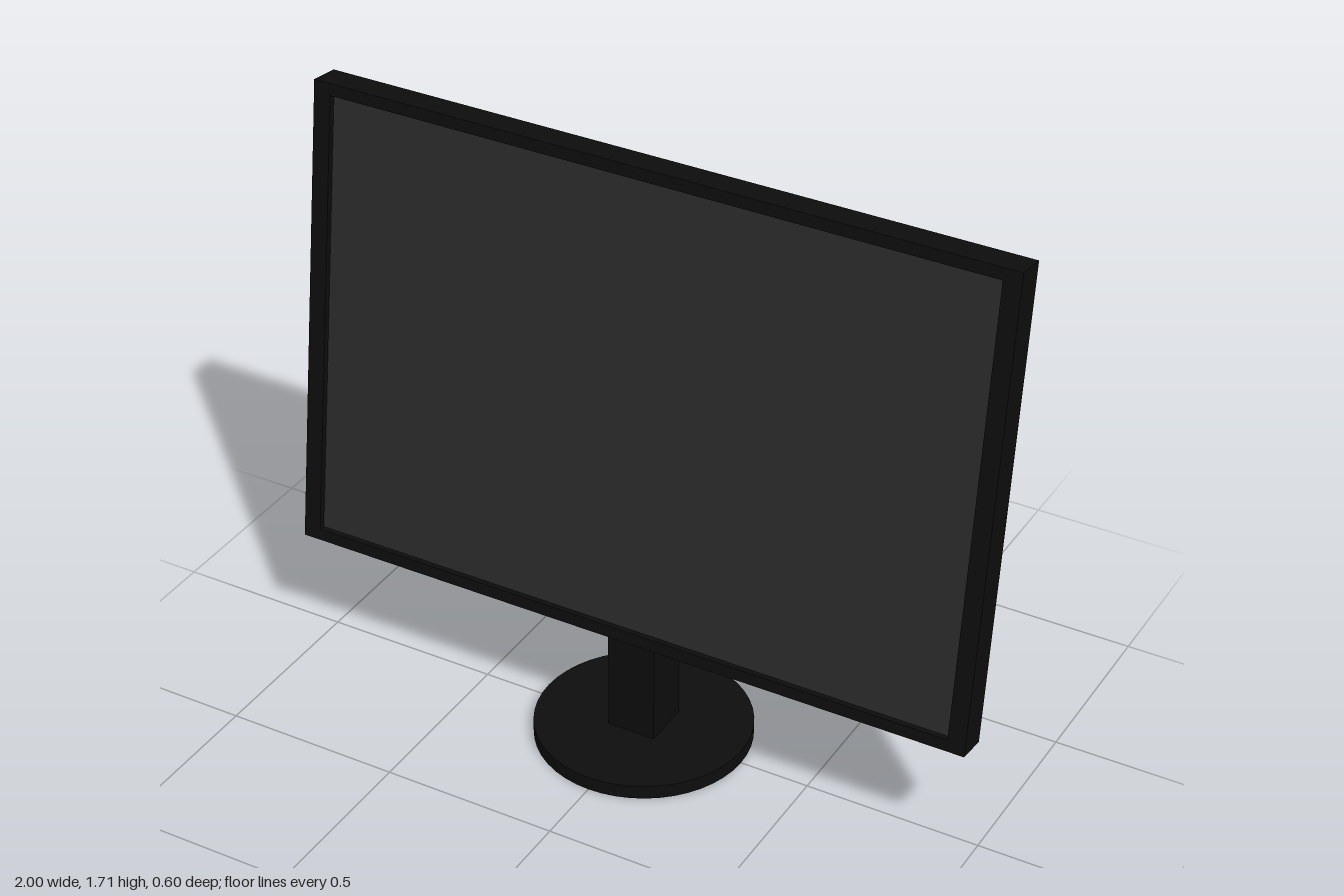
import * as THREE from 'three';

export function createModel() {
  const model = new THREE.Group();
  const black = new THREE.MeshStandardMaterial({ color: 0x0d0d0d });
  const grey = new THREE.MeshStandardMaterial({ color: 0x2b2b2b });

  const add = (parent, name, geometry, material, y = 0, z = 0) => {
    const mesh = new THREE.Mesh(geometry, material);
    mesh.name = name;
    mesh.position.set(0, y, z);
    parent.add(mesh);
    return mesh;
  };

  // Stand: round foot and square column
  add(model, 'base', new THREE.CylinderGeometry(0.3, 0.3, 0.04, 48), black, 0.02);
  add(model, 'column', new THREE.BoxGeometry(0.14, 0.57, 0.14), black, 0.305);

  // Display, leaning back
  const width = 2, height = 1.336, depth = 0.09, recess = 0.02;
  const innerW = 1.9, innerH = 1.27;
  const display = new THREE.Group();
  display.name = 'display';
  display.position.y = 1.0375;
  display.rotation.x = THREE.MathUtils.degToRad(-7.3);
  model.add(display);

  const rectangle = (PathType, w, h) => new PathType([
    new THREE.Vector2(-w / 2, -h / 2), new THREE.Vector2(w / 2, -h / 2),
    new THREE.Vector2(w / 2, h / 2), new THREE.Vector2(-w / 2, h / 2),
  ]);

  // Rear casing
  add(display, 'casing', new THREE.BoxGeometry(width, height, depth - recess), black, 0, -recess / 2);

  // Raised bezel around the recessed screen
  const outline = rectangle(THREE.Shape, width, height);
  outline.holes.push(rectangle(THREE.Path, innerW, innerH));
  add(display, 'bezel', new THREE.ExtrudeGeometry(outline, { depth: recess, bevelEnabled: false }),
    black, 0, depth / 2 - recess);

  // Screen
  add(display, 'screen', new THREE.BoxGeometry(innerW, innerH, 0.004), grey, 0, depth / 2 - recess);

  return model;
}
